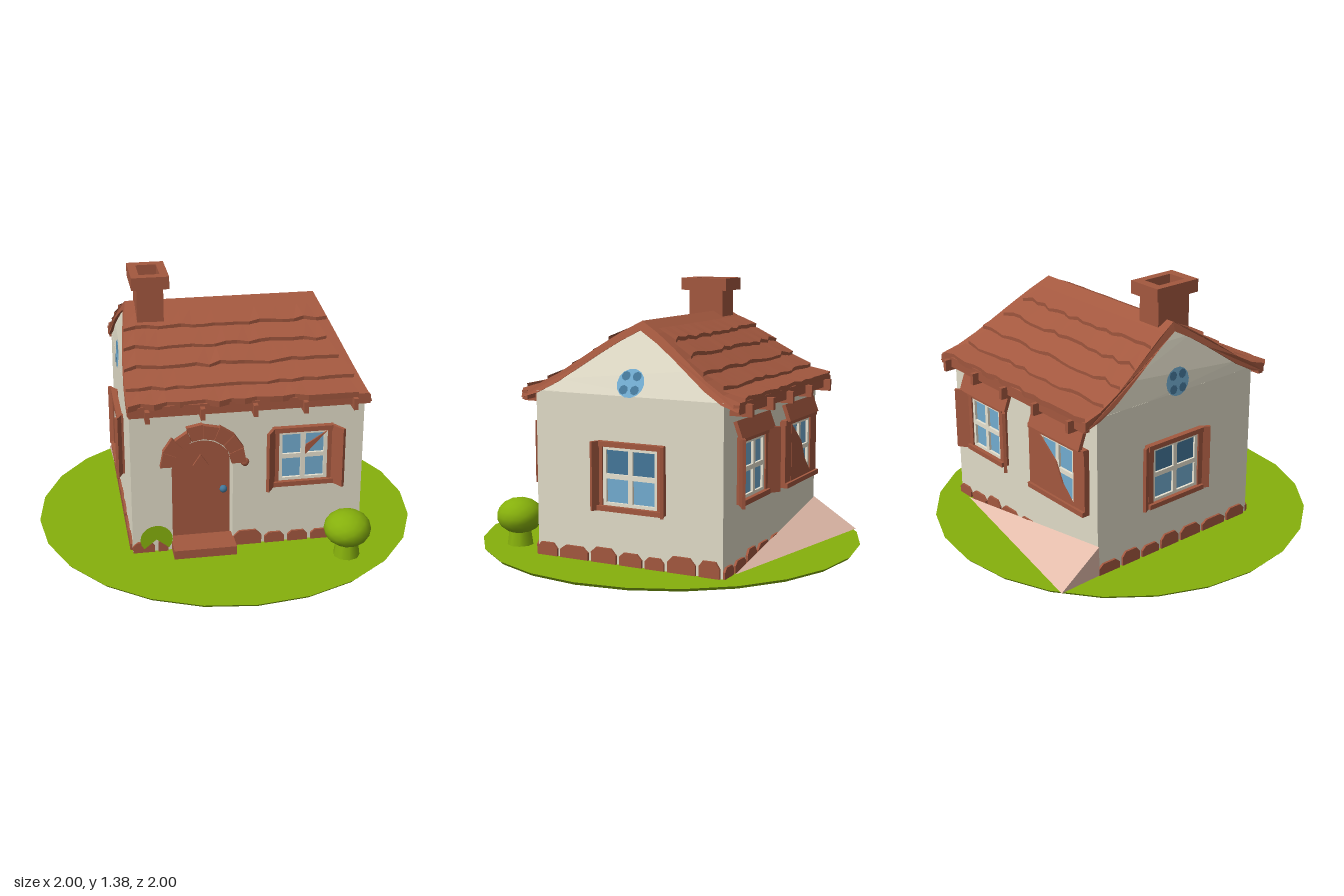
import * as THREE from 'three';

const mat = (name, color) => Object.assign(new THREE.MeshStandardMaterial({ color, side: THREE.DoubleSide }), { name });

export function createModel() {
  const M = {
    grass: mat('grass', 0x86b00c),
    brick: mat('brick', 0xa3583f),
    wall: mat('plaster', 0xe0dbc7),
    frame: mat('window bars', 0xe9e4d2),
    glass: mat('glass', 0x72abcf),
    dark: mat('dark glass', 0x447799),
    pink: mat('pale path', 0xe3bcab),
  };
  const root = new THREE.Group();
  root.name = 'cottage';
  let seed = 7;
  const rnd = () => (seed = (seed * 16807) % 2147483647) / 2147483647;

  const add = (parent, name, geo, material, x = 0, y = 0, z = 0) => {
    const m = new THREE.Mesh(geo, material);
    m.name = name;
    m.position.set(x, y, z);
    parent.add(m);
    return m;
  };
  const box = (parent, name, material, w, h, d, x, y, z) =>
    add(parent, name, new THREE.BoxGeometry(w, h, d), material, x, y, z);
  const shapeOf = (pts) => new THREE.Shape(pts.map(([x, y]) => new THREE.Vector2(x, y)));
  const extrude = (shape, depth, curveSegments = 10) =>
    new THREE.ExtrudeGeometry(shape, { depth, bevelEnabled: false, curveSegments });

  // Ground disc and floor seen from below
  add(root, 'ground', new THREE.CylinderGeometry(1, 0.985, 0.016, 24), M.grass, 0, 0.012, 0);
  box(root, 'floor', M.brick, 1.2, 0.006, 1.03, 0.05, 0.003, -0.09);

  // Roof profile: height by distance from the ridge; gable ends lean inward
  const RIDGE = -0.09;
  const prof = [[0, 1.2], [0.1, 1.145], [0.2, 1.08], [0.3, 1.01], [0.4, 0.94], [0.5, 0.885], [0.59, 0.857]];
  const roofY = (d) => {
    const i = Math.min(Math.floor(d * 10), prof.length - 2);
    const [a, b] = [prof[i], prof[i + 1]];
    return a[1] + ((b[1] - a[1]) * (d - a[0])) / (b[0] - a[0]);
  };
  const lean = (y) => Math.max(0, y - 0.84) / 0.36;
  const endL = (y) => -0.555 + 0.05 * lean(y) ** 2;
  const endR = (y) => 0.66 - 0.165 * lean(y);

  // Extrude a z-y outline along x and fit it between the leaning ends
  const acrossX = (pts, inset, rise) => {
    const g = extrude(shapeOf(pts), 1);
    g.rotateY(Math.PI / 2);
    const p = g.attributes.position;
    for (let i = 0; i < p.count; i++) {
      const y = p.getY(i) + rise;
      p.setX(i, THREE.MathUtils.lerp(endL(y) + inset, endR(y) - inset, p.getX(i)));
      p.setZ(i, p.getZ(i) + RIDGE);
    }
    g.computeVertexNormals();
    return g;
  };
  const mirrorPts = (pts) => [...pts.slice(1).reverse().map(([d, y]) => [-d, y]), ...pts];
  const under = prof.map(([d, y]) => [d, y - 0.045]);
  add(root, 'roof', acrossX([...mirrorPts(prof), ...mirrorPts(under).reverse()], 0, 0.02), M.brick);

  // Wavy shingle courses on both slopes
  const courseEdges = [0.07, 0.17, 0.27, 0.37, 0.48, 0.595];
  const N = 18;
  const course = (d0, d1, side) => {
    const pos = [], idx = [];
    const cut = 0.02 + rnd() * 0.06;
    for (let i = 0; i <= N; i++) {
      const w = d1 + (rnd() - 0.5) * 0.022;
      [[d0, 0.002], [w, 0.02], [w - 0.002, -0.012]].forEach(([d, h]) => {
        const y = roofY(d);
        const x = THREE.MathUtils.lerp(endL(y) + 0.005, endR(y) - cut, i / N);
        pos.push(x, y + h, RIDGE + side * d);
      });
      if (i === N) break;
      for (let k = 0; k < 2; k++) {
        const a = i * 3 + k, b = a + 1, c = a + 3, e = a + 4;
        if (side > 0) idx.push(a, b, c, b, e, c);
        else idx.push(a, c, b, b, c, e);
      }
    }
    const g = new THREE.BufferGeometry();
    g.setAttribute('position', new THREE.Float32BufferAttribute(pos, 3));
    g.setIndex(idx);
    const flat = g.toNonIndexed();
    flat.computeVertexNormals();
    return flat;
  };
  for (const side of [1, -1])
    for (let i = 0; i < 5; i++)
      add(root, 'shingleCourse', course(courseEdges[i], courseEdges[i + 1], side), M.brick);

  // Eaves boards and rafter tails
  for (const side of [1, -1]) {
    box(root, 'eavesBoard', M.brick, 1.2, 0.045, 0.03, 0.052, 0.825, RIDGE + side * 0.575);
    for (const x of [-0.46, -0.19, 0.07, 0.32, 0.57])
      box(root, 'rafterTail', M.brick, 0.022, 0.06, 0.15, x, 0.815, RIDGE + side * 0.55);
  }

  // Walls: main block, gables and a front panel with the arched doorway
  box(root, 'walls', M.wall, 1.185, 0.83, 0.93, 0.0525, 0.435, -0.135);
  const gable = prof.slice(0, 6).map(([d, y]) => [d, y - 0.03]);
  add(root, 'gables', acrossX([[-0.51, 0.82], ...mirrorPts(gable), [0.51, 0.82]], 0.015, 0), M.wall);
  const front = shapeOf([[-0.54, 0.02], [0.645, 0.02], [0.645, 0.85], [-0.54, 0.85]]);
  const arch = (S, r) => {
    const s = new S();
    s.moveTo(-0.18 - r, 0.04);
    s.lineTo(-0.18 + r, 0.04);
    s.lineTo(-0.18 + r, 0.47);
    s.absarc(-0.18, 0.47, r, 0, Math.PI, false);
    s.closePath();
    return s;
  };
  front.holes.push(arch(THREE.Path, 0.155));
  add(root, 'frontWall', extrude(front, 0.09), M.wall, 0, 0, 0.33);

  // Door with diamond, knob, step and stone arch
  add(root, 'door', extrude(arch(THREE.Shape, 0.15), 0.02), M.brick, 0, 0, 0.335);
  add(root, 'doorDiamond', extrude(shapeOf([[-0.22, 0.46], [-0.18, 0.4], [-0.14, 0.46], [-0.18, 0.52]]), 0.012), M.brick, 0, 0, 0.354);
  add(root, 'doorKnob', new THREE.SphereGeometry(0.02, 10, 8), M.dark, -0.065, 0.32, 0.37);
  box(root, 'doorStep', M.brick, 0.32, 0.05, 0.16, -0.18, 0.042, 0.445);
  for (let i = 0; i < 8; i++) {
    const a0 = (i / 8) * Math.PI, a1 = ((i + 0.97) / 8) * Math.PI;
    const r = 0.2 + rnd() * 0.025;
    const pts = [[0.145, a0], [r, a0], [r, a1], [0.145, a1]].map(([q, a]) => [-0.18 + q * Math.cos(a), 0.5 + q * Math.sin(a)]);
    add(root, 'archStone', extrude(shapeOf(pts), 0.05), M.brick, 0, 0, 0.4);
  }
  add(root, 'archEndStone', new THREE.SphereGeometry(0.022, 8, 6), M.brick, 0.035, 0.495, 0.43);

  // Window built facing +z, w and h measure the glass
  const makeWindow = (name, w, h, { angle = 1.0, shutter = 0.09, darkTop = false, wedge, wide = 0.03 }) => {
    const g = new THREE.Group();
    g.name = name;
    box(g, 'glass', M.glass, w, h, 0.006, 0, 0, 0.006);
    if (darkTop) box(g, 'darkPanes', M.dark, w, h / 2, 0.004, 0, h / 4, 0.009);
    box(g, 'mullion', M.frame, 0.024, h, 0.02, 0, 0, 0.012);
    box(g, 'transom', M.frame, w, 0.024, 0.02, 0, 0, 0.012);
    for (const s of [-1, 1]) {
      box(g, 'innerJamb', M.frame, 0.018, h, 0.02, s * (w / 2 - 0.009), 0, 0.012);
      box(g, 'innerRail', M.frame, w, 0.016, 0.02, 0, s * (h / 2 - 0.008), 0.012);
      box(g, 'jamb', M.brick, wide, h + 0.04, 0.03, s * (w + wide) / 2, 0, 0.015);
      box(g, s < 0 ? 'sill' : 'lintel', M.brick, w + wide * 2, 0.025, s < 0 ? 0.05 : 0.03, 0, s * (h / 2 + 0.012), 0.02);
      if (shutter) {
        const hinge = new THREE.Group();
        hinge.name = 'shutter';
        hinge.position.set(s * (w / 2 + 0.02), 0, 0.015);
        hinge.rotation.y = -s * angle;
        box(hinge, 'shutterPanel', M.brick, shutter, h + 0.05, 0.016, s * shutter / 2, 0, 0);
        g.add(hinge);
      }
    }
    if (wedge) add(g, 'brokenBoard', extrude(shapeOf(wedge), 0.008), M.brick, 0, 0, 0.024);
    root.add(g);
    return g;
  };
  makeWindow('frontWindow', 0.25, 0.27, { wedge: [[0.01, 0.01], [0.12, 0.13], [0.01, 0.06]] }).position.set(0.33, 0.515, 0.42);
  const sides = [['rightWindow', 1, 0.645], ['leftWindow', -1, -0.54]];
  for (const [name, s, x] of sides) {
    const g = makeWindow(name, 0.3, 0.29, { darkTop: true, angle: s > 0 ? 1.15 : 0.5, shutter: 0.055 });
    g.position.set(x, 0.46, -0.12);
    g.rotation.y = s * Math.PI / 2;
  }
  const backA = makeWindow('backWindow', 0.25, 0.28, { angle: 0.6 });
  backA.position.set(0.34, 0.51, -0.6);
  backA.rotation.y = Math.PI;
  const backB = makeWindow('brokenBackWindow', 0.27, 0.3, { shutter: 0, wide: 0.085, wedge: [[-0.14, 0.15], [-0.14, -0.15], [0.14, -0.15], [0.05, -0.06], [0.0, 0.04]] });
  backB.position.set(-0.26, 0.5, -0.6);
  backB.rotation.y = Math.PI;
  for (const x of [0.34, -0.26]) {
    const a = box(root, 'backAwning', M.brick, 0.4, 0.09, 0.02, x, 0.71, -0.625);
    a.rotation.x = 0.35;
  }

  // Round gable windows on the leaning ends
  for (const s of [1, -1]) {
    const g = new THREE.Group();
    g.name = 'roundWindow';
    add(g, 'roundGlass', new THREE.CircleGeometry(0.074, 14), M.glass, 0, 0, 0.004);
    for (const [u, v] of [[1, 1], [1, -1], [-1, 1], [-1, -1]])
      add(g, 'darkPane', new THREE.CircleGeometry(0.024, 8), M.dark, u * 0.03, v * 0.035, 0.007);
    g.position.set(s > 0 ? endR(0.91) - 0.009 : endL(0.91) + 0.009, 0.91, -0.1);
    g.rotation.set(0, s * Math.PI / 2, 0);
    const tilt = new THREE.Group();
    tilt.rotation.x = s > 0 ? -0.43 : -0.06;
    tilt.add(...g.children.slice());
    tilt.name = 'roundPanes';
    g.add(tilt);
    root.add(g);
  }

  // Chimney with an open cap
  const tube = (w, d, hw, hd, h) => {
    const rect = (a, b) => [[-a, -b], [a, -b], [a, b], [-a, b]];
    const s = shapeOf(rect(w / 2, d / 2));
    s.holes.push(shapeOf(rect(hw / 2, hd / 2)));
    return extrude(s, h).rotateX(-Math.PI / 2);
  };
  add(root, 'chimney', tube(0.135, 0.2, 0.09, 0.15, 0.26), M.brick, -0.385, 1.06, -0.045);
  box(root, 'chimneyBase', M.brick, 0.135, 0.13, 0.2, -0.385, 1.165, -0.045);
  add(root, 'chimneyCap', tube(0.19, 0.265, 0.105, 0.165, 0.065), M.brick, -0.385, 1.31, -0.045);

  // Foundation stones along every wall
  const stones = (x, z, ry, from, to) => {
    const row = new THREE.Group();
    row.name = 'foundationStones';
    for (let u = from; u < to - 0.05;) {
      const w = Math.min(0.1 + rnd() * 0.06, to - u), h = 0.055 + rnd() * 0.03;
      const pts = [[0, 0], [w, 0], [w, h * 0.6], [w * 0.8, h], [w * 0.2, h], [0, h * 0.65]];
      add(row, 'stone', extrude(shapeOf(pts), 0.014), M.brick, u, 0.018, 0);
      u += w + 0.018;
    }
    row.position.set(x, 0, z);
    row.rotation.y = ry;
    root.add(row);
  };
  stones(0, 0.418, 0, -0.02, 0.645);
  stones(0, 0.418, 0, -0.54, -0.36);
  stones(0.643, 0, Math.PI / 2, -0.42, 0.6);
  stones(-0.538, 0, -Math.PI / 2, -0.6, 0.42);
  stones(0, -0.598, Math.PI, -0.645, 0.54);

  // Pale sloping path wedge behind the house
  const wedge = new THREE.BufferGeometry().setFromPoints(
    [[-0.55, 0.18, -0.6], [0.55, 0.022, -0.62], [-0.56, 0.022, -0.84], [-0.55, 0.18, -0.6], [-0.56, 0.022, -0.84], [-0.55, 0.022, -0.6]]
      .map((p) => new THREE.Vector3(...p)));
  wedge.computeVertexNormals();
  add(root, 'palePath', wedge, M.pink);

  // Topiary bush and the leafy patch by the door
  const crown = add(root, 'bushCrown', new THREE.IcosahedronGeometry(0.12, 2), M.grass, 0.53, 0.172, 0.61);
  crown.scale.y = 0.78;
  add(root, 'bushStem', new THREE.CylinderGeometry(0.055, 0.068, 0.09, 9), M.grass, 0.53, 0.063, 0.61);
  const leaf = add(root, 'leafPatch', new THREE.CircleGeometry(0.083, 14, -0.7, Math.PI + 1.4), M.grass, -0.42, 0.093, 0.436);
  leaf.scale.y = 0.95;
  return root;
}
